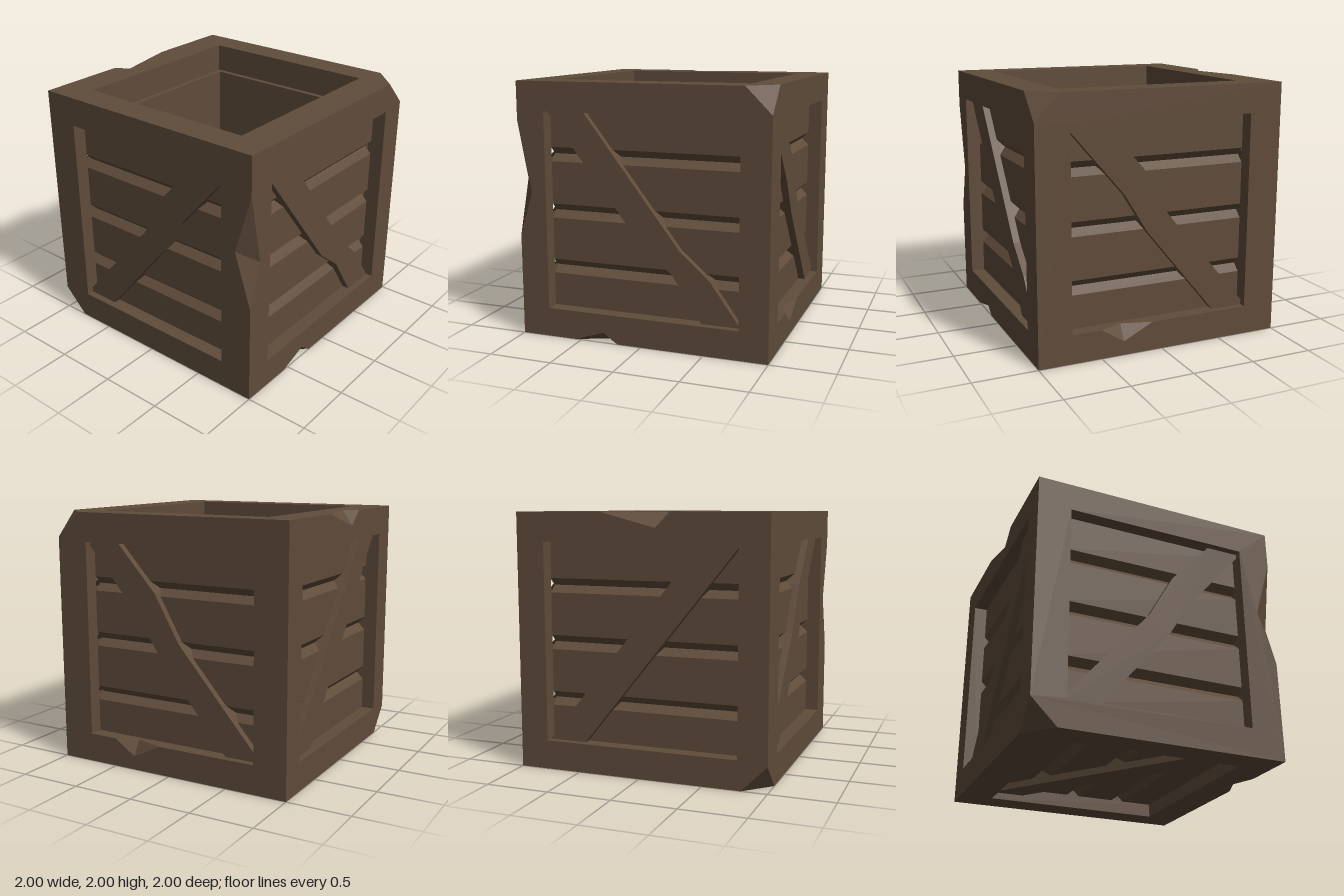
import * as THREE from 'three';

const wood = new THREE.MeshStandardMaterial({ color: 0x604c3b, side: THREE.DoubleSide });
wood.name = 'weathered wood';

const PANEL = 0.11, BRACE = 0.055, GROOVE = 0.056, HX = 0.773, HY = 0.7725, HZ = 0.735;

function mesh(name, geometry) {
  const m = new THREE.Mesh(geometry, wood);
  m.name = name;
  return m;
}

// Flat-shaded mesh from convex polygons; each is turned to face its hint direction.
function facets(name, polygons) {
  const out = [], n = new THREE.Vector3(), e = new THREE.Vector3();
  for (const [points, hint] of polygons) {
    const p = points.map(a => new THREE.Vector3(...a));
    for (let i = 1; i < p.length - 1; i++) {
      n.subVectors(p[i], p[0]).cross(e.subVectors(p[i + 1], p[0]));
      const flip = n.dot(new THREE.Vector3(...hint)) < 0;
      for (const v of flip ? [p[0], p[i + 1], p[i]] : [p[0], p[i], p[i + 1]]) out.push(v.x, v.y, v.z);
    }
  }
  const g = new THREE.BufferGeometry();
  g.setAttribute('position', new THREE.Float32BufferAttribute(out, 3));
  g.computeVertexNormals();
  return mesh(name, g);
}

const toShape = pts => new THREE.Shape(pts.map(p => new THREE.Vector2(...p)));
const rect = (w, h) => [[-w, -h], [w, -h], [w, h], [-w, h]];

// Flat frame: outline with an opening.
function frame(name, outline, opening, z = 0) {
  const s = toShape(outline);
  s.holes.push(toShape(opening));
  return mesh(name, new THREE.ShapeGeometry(s).translate(0, 0, z));
}

// Walls running inwards from a rim of [u, v, z] points down to a given depth.
function reveal(name, rim, depth) {
  return facets(name, rim.map((a, i) => {
    const b = rim[(i + 1) % rim.length];
    return [[a, b, [b[0], b[1], -depth], [a[0], a[1], -depth]], [a[1] - b[1], b[0] - a[0], 0]];
  }));
}

// Planked panel: a profile with three V grooves, swept across the opening.
function planks(w, h) {
  const k = h / HY, profile = [[-h, -PANEL]];
  for (const c of [-0.455, -0.01, 0.435]) {
    profile.push([(c - 0.056) * k, -PANEL], [c * k, -PANEL - GROOVE], [(c + 0.056) * k, -PANEL]);
  }
  profile.push([h, -PANEL]);
  const strips = profile.slice(1).map(([v, z], i) => {
    const [v0, z0] = profile[i];
    return [[[-w, v0, z0], [w, v0, z0], [w, v, z], [-w, v, z]], [0, 0, 1]];
  });
  return facets('planks', strips);
}

function brace(points) {
  const depth = PANEL + GROOVE - BRACE;
  const g = new THREE.ExtrudeGeometry(toShape(points), { depth, bevelEnabled: false });
  return mesh('brace', g.translate(0, 0, -BRACE - depth));
}

// Group whose local +z points out of one side of the crate.
function side(name, u, v, parts) {
  const g = new THREE.Group();
  g.name = name;
  const U = new THREE.Vector3(...u), V = new THREE.Vector3(...v), N = U.clone().cross(V);
  g.quaternion.setFromRotationMatrix(new THREE.Matrix4().makeBasis(U, V, N));
  g.position.copy(N);
  g.add(...parts);
  return g;
}

function panelSide(name, u, v, w, h, outline, bracePts, opening = rect(w, h), rim = rect(w, h).map(p => [...p, 0])) {
  return side(name, u, v, [
    frame('frame', outline, opening), reveal('frameInnerEdge', rim, PANEL), planks(w, h), brace(bracePts)]);
}

export function createModel() {
  const model = new THREE.Group();
  model.name = 'crate';
  const body = new THREE.Group();
  body.name = 'crateBody';
  body.position.y = 1;
  model.add(body);

  // Bent brace used on both the right and left sides
  const bent = [[-HZ, HY], [-HZ, 0.735], [-0.29, 0.22], [-0.11, -0.07], [0.47, -HY], [HZ, -HY],
    [HZ, -0.73], [0.07, 0.04], [-0.14, 0.41], [-0.47, HY]];

  body.add(
    panelSide('frontSide', [1, 0, 0], [0, 1, 0], HX, HY,
      [[-1, -1], [-0.55, -1], [-0.31, -0.92], [-0.19, -1], [1, -1], [1, 0.8], [0.8, 1], [-1, 1],
        [-1, 0.7], [-0.89, 0.15], [-1, -0.2]],
      [[-HX, HY], [0.01, -0.235], [0.24, -0.42], [0.47, -HY], [HX, -HY], [0.53, -0.435],
        [0.3, -0.235], [-0.47, HY]]),
    panelSide('rightSide', [0, 0, -1], [0, 1, 0], HZ, HY,
      [[-1, -1], [1, -1], [1, 1], [-0.8, 1], [-1, 0.8]], bent,
      // Opening with a splinter missing from its lower edge
      [[-HZ, -HY], [-0.5, -HY], [-0.32, -0.89], [-0.08, -HY], [HZ, -HY], [HZ, HY], [-HZ, HY]],
      [[-HZ, -HY, 0], [-0.5, -HY, 0], [-0.32, -HY, -0.07], [-0.08, -HY, 0], [HZ, -HY, 0], [HZ, HY, 0], [-HZ, HY, 0]]),
    panelSide('backSide', [-1, 0, 0], [0, 1, 0], HX, HY,
      [[-1, -1], [0.8, -1], [1, -0.8], [1, 1], [0.28, 1], [0.14, 0.885], [-0.3, 1], [-1, 1]],
      [[-HX, -HY], [-0.47, -HY], [HX, HY], [0.47, HY]]),
    panelSide('leftSide', [0, 0, 1], [0, 1, 0], HZ, HY,
      [[-0.8, -1], [1, -1], [1, -0.2], [0.86, 0.23], [1, 0.7], [1, 1], [-1, 1], [-1, -0.8]],
      bent.map(([u, v]) => [-u, v])),
    panelSide('bottomSide', [1, 0, 0], [0, 0, 1], HX, HZ,
      [[-0.8, -1], [1, -1], [1, 1], [-0.19, 1], [-0.3, 0.9], [-0.55, 1], [-1, 1], [-1, -0.8]],
      [[HX, -HZ], [HX, -0.47], [-HX, HZ], [-HX, 0.47]])
  );

  // Open top: rim, ledge, inner walls and floor
  const ledge = 0.2275, inner = rect(0.73, 0.69);
  body.add(side('openTop', [1, 0, 0], [0, 0, -1], [
    frame('topRim', [[-1, -1], [0.8, -1], [1, -0.8], [1, 1], [0.3, 1], [-0.21, 0.89], [-0.28, 1], [-1, 1]],
      rect(HX, HZ)),
    reveal('rimInnerEdge', rect(HX, HZ).map(p => [...p, 0]), ledge),
    frame('ledge', rect(HX, HZ), inner, -ledge),
    reveal('innerWalls', inner.map(p => [...p, -ledge]), 1.73),
    facets('floor', [[inner.map(p => [...p, -1.73]), [0, 0, 1]]])
  ]));

  // Chipped edges: two ends on the edge, one point on each neighbouring face
  const chip = (name, a, b, c, d, hint) => facets(name, [[[a, c, d], hint], [[b, c, d], hint]]);
  body.add(
    chip('leftEdgeChip', [-1, 0.7, 1], [-1, -0.2, 1], [-0.89, 0.15, 1], [-1, 0.23, 0.86], [-1, 0, 1]),
    chip('bottomEdgeChip', [-0.55, -1, 1], [-0.19, -1, 1], [-0.31, -0.92, 1], [-0.3, -1, 0.9], [0, -1, 1]),
    chip('topEdgeChip', [0.3, 1, -1], [-0.28, 1, -1], [-0.14, 0.885, -1], [-0.21, 1, -0.89], [0, 1, -1]),
    chip('rightFrameChip', [1, -HY, 0.5], [1, -HY, 0.08], [1, -0.89, 0.32], [0.93, -HY, 0.32], [1, 1, 0]),
    facets('topCornerChip', [[[[0.8, 1, 1], [1, 0.8, 1], [1, 1, 0.8]], [1, 1, 1]]]),
    facets('bottomCornerChip', [[[[-0.8, -1, -1], [-1, -0.8, -1], [-1, -1, -0.8]], [-1, -1, -1]]])
  );
  return model;
}
